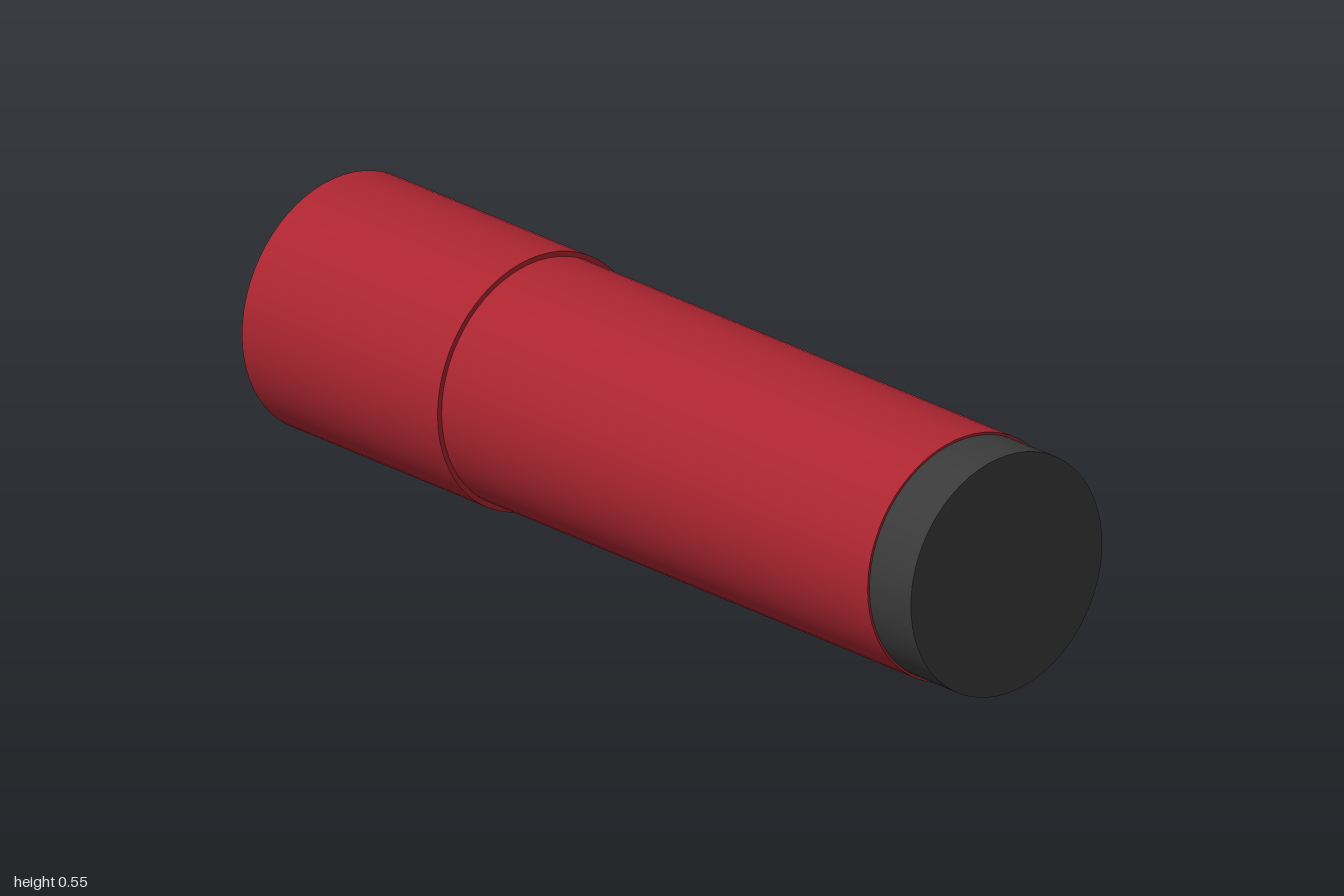
import * as THREE from 'three';

const RADIUS = 0.273; // widest part; also the height of the axis

export function createModel() {
  const red = new THREE.MeshStandardMaterial({ color: 0xab2530 });
  red.name = 'red';
  const darkGrey = new THREE.MeshStandardMaterial({ color: 0x3a3a3a });
  darkGrey.name = 'darkGrey';

  const group = new THREE.Group();
  group.name = 'cappedTube';

  // Solid cylinder lying along z, between two z positions
  function addSection(name, radius, zBack, zFront, material) {
    const geometry = new THREE.CylinderGeometry(radius, radius, zFront - zBack, 64);
    geometry.rotateX(Math.PI / 2);
    const mesh = new THREE.Mesh(geometry, material);
    mesh.name = name;
    mesh.position.set(0, RADIUS, (zBack + zFront) / 2);
    group.add(mesh);
  }

  addSection('rearCap', RADIUS, -1, -0.41, red);
  addSection('body', 0.262, -0.41, 0.875, red);
  addSection('frontPlug', 0.257, 0.875, 1, darkGrey);

  return group;
}
